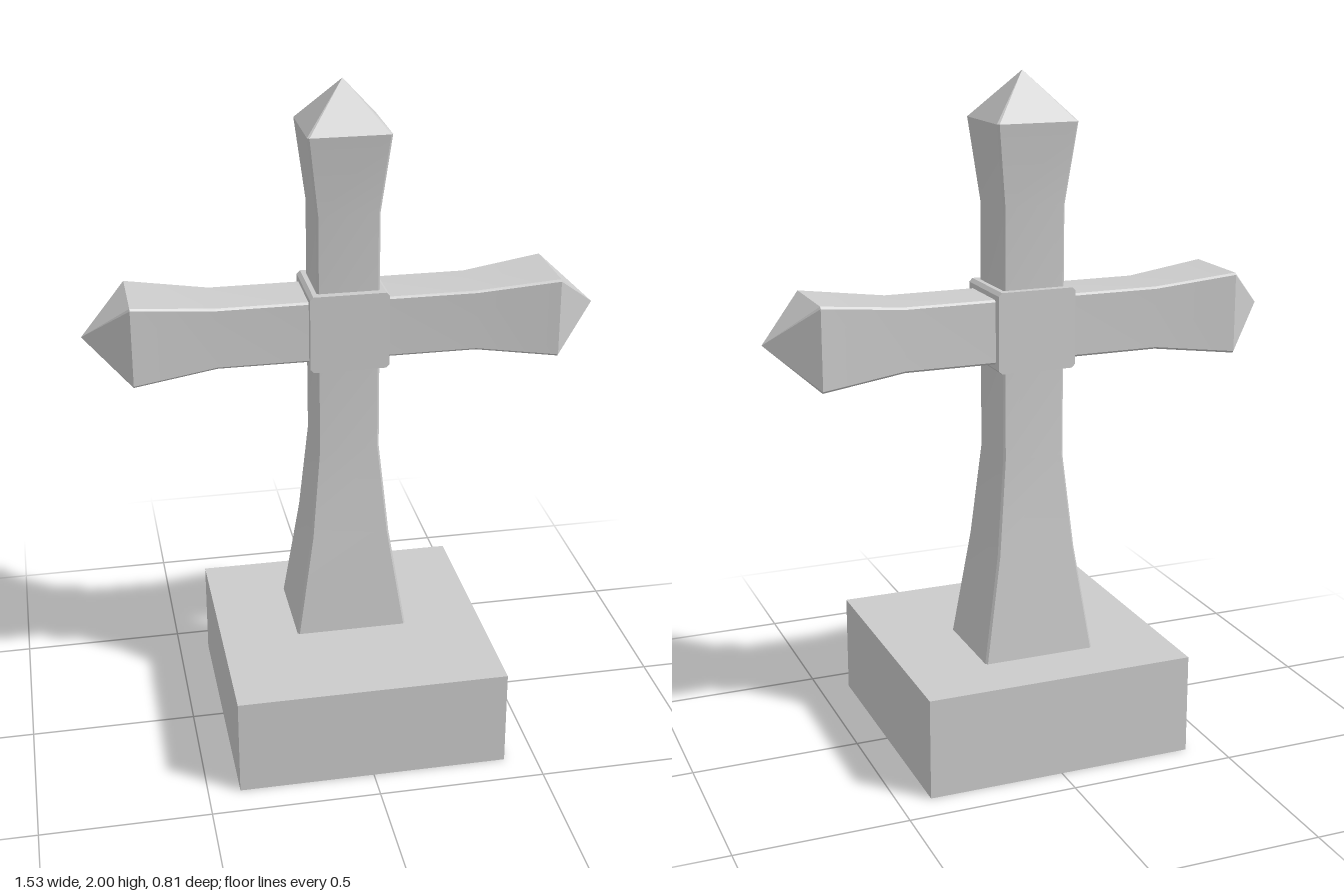
import * as THREE from 'three';
import { toCreasedNormals } from 'three/addons/utils/BufferGeometryUtils.js';

const material = new THREE.MeshStandardMaterial({ color: 0xcccccc });

// Lofts chamfered rectangles along y; rows are [y, halfX, halfZ], a zero size makes a tip
function loft(rows, chamfer) {
  const positions = [];
  const rings = rows.map(([y, hx, hz]) => {
    const c = hx === 0 ? 0 : chamfer;
    return [
      [c - hx, hz], [hx - c, hz], [hx, hz - c], [hx, c - hz],
      [hx - c, -hz], [c - hx, -hz], [-hx, c - hz], [-hx, hz - c],
    ].map(([x, z]) => [x, y, z]);
  });
  for (let j = 0; j < rings.length - 1; j++) {
    for (let k = 0; k < 8; k++) {
      const n = (k + 1) % 8;
      const a = rings[j][k], b = rings[j][n];
      const c = rings[j + 1][n], d = rings[j + 1][k];
      if (rows[j][1] > 0) positions.push(...a, ...b, ...c);
      if (rows[j + 1][1] > 0) positions.push(...a, ...c, ...d);
    }
  }
  const geometry = new THREE.BufferGeometry();
  geometry.setAttribute('position', new THREE.Float32BufferAttribute(positions, 3));
  return toCreasedNormals(geometry, 0.5);
}

function addPart(parent, name, geometry) {
  const mesh = new THREE.Mesh(geometry, material);
  mesh.name = name;
  parent.add(mesh);
  return mesh;
}

export function createModel() {
  const model = new THREE.Group();
  model.name = 'stoneCross';

  // Square plinth
  addPart(model, 'plinth', new THREE.BoxGeometry(0.81, 0.3, 0.81)).position.y = 0.15;

  // The cross stands towards the back of the plinth
  const cross = new THREE.Group();
  cross.name = 'cross';
  cross.position.z = -0.088;
  model.add(cross);

  // Upright with a spreading foot, flared head and pointed top
  addPart(cross, 'upright', loft([
    [0.3, 0, 0], [0.3, 0.17, 0.144], [0.62, 0.12, 0.118], [0.9, 0.093, 0.093],
    [1.63, 0.093, 0.093], [1.865, 0.121, 0.121], [2, 0, 0],
  ], 0.006));

  // Crossbar, the same flare and point mirrored at both ends
  const half = [[0.385, 0.093, 0.093], [0.63, 0.121, 0.121], [0.766, 0, 0]];
  const mirrored = half.map(([y, a, b]) => [-y, a, b]).reverse();
  const bar = addPart(cross, 'crossbar', loft([...mirrored, ...half], 0.006));
  bar.rotation.z = -Math.PI / 2;
  bar.position.y = 1.282;

  // Block around the crossing
  const block = addPart(cross, 'crossingBlock', loft([
    [-0.117, 0, 0], [-0.117, 0.117, 0.117], [0.117, 0.117, 0.117], [0.117, 0, 0],
  ], 0.01));
  block.rotation.x = Math.PI / 2;
  block.position.y = 1.282;

  return model;
}
